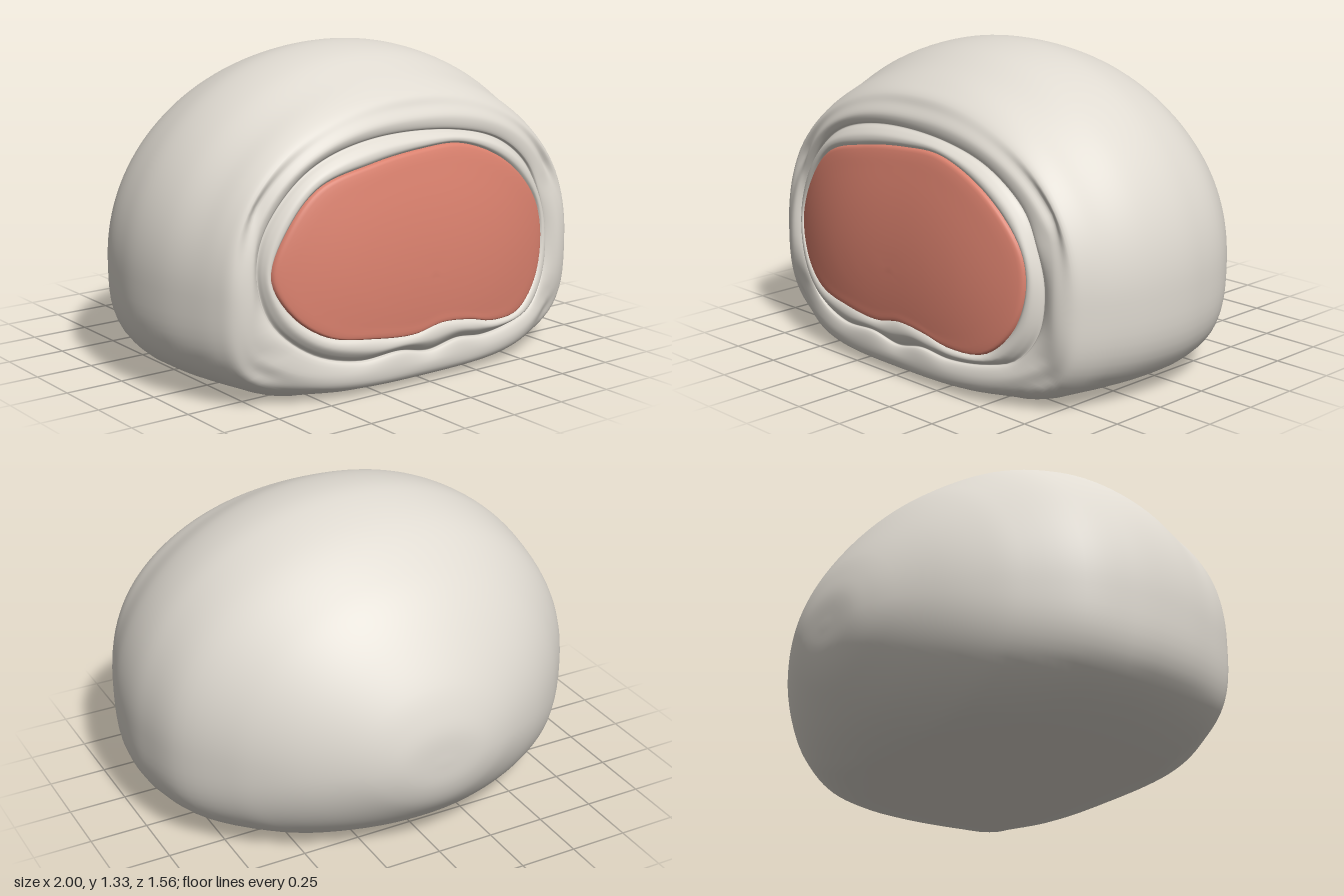
import * as THREE from 'three';

const SEG = 144;      // points around each loop
const MID = 0.45;     // height of the widest line, centre of every loop

// Gently bulging, tilted cut face
const frontZ = (x, y) =>
  0.78 - 0.27 * (y - 0.38) ** 2 - 0.11 * (Math.min(Math.abs(x), 0.75) / 0.7) ** 3;

// Loop as radius over angle: rounded dome above MID, squarer flat-bottomed half below
function domeLoop(w, top, bottom, nUp = 2.05, nLow = 3.5) {
  return (a) => {
    const c = Math.abs(Math.cos(a)), s = Math.sin(a);
    const h = s > 0 ? top - MID : MID - bottom;
    const n = s > 0 ? nUp : nLow;
    return ((c / w) ** n + (Math.abs(s) / h) ** n) ** (-1 / n);
  };
}

// Loop through hand-placed outline points, also as radius over angle
function outlineLoop(points) {
  const curve = new THREE.CatmullRomCurve3(
    points.map(([x, y]) => new THREE.Vector3(x, y - MID, 0)), true);
  const polar = curve.getPoints(600).map((p) => [
    (Math.atan2(p.y, p.x) + Math.PI * 2) % (Math.PI * 2), Math.hypot(p.x, p.y)]);
  polar.sort((p, q) => p[0] - q[0]);
  return (a) => {
    const i = polar.findIndex((p) => p[0] >= a);
    if (i <= 0) return polar[0][1];
    const [a0, r0] = polar[i - 1], [a1, r1] = polar[i];
    return a1 - a0 < 1e-6 ? r1 : r0 + (r1 - r0) * (a - a0) / (a1 - a0);
  };
}

const at = (a, r) => [r * Math.cos(a), Math.max(0, MID + r * Math.sin(a))];

// Skin made by sweeping a profile (angle -> list of points) around the z axis
function sweep(profile, steps) {
  const pos = [], index = [];
  for (let j = 0; j < SEG; j++) {
    const curve = new THREE.CatmullRomCurve3(profile((j / SEG) * Math.PI * 2));
    for (let i = 0; i <= steps; i++) {
      const p = curve.getPoint(i / steps);
      pos.push(p.x, Math.max(0, p.y), p.z);
    }
  }
  const id = (i, j) => (j % SEG) * (steps + 1) + i;
  for (let j = 0; j < SEG; j++) {
    for (let i = 0; i < steps; i++) {
      const a = id(i, j), b = id(i, j + 1), c = id(i + 1, j + 1), d = id(i + 1, j);
      index.push(a, b, c, a, c, d);
    }
  }
  const geo = new THREE.BufferGeometry();
  geo.setAttribute('position', new THREE.Float32BufferAttribute(pos, 3));
  geo.setIndex(index);
  geo.computeVertexNormals();
  // Share one normal at the pole where all profiles meet
  const n = geo.attributes.normal;
  for (const i of [0, steps]) {
    const p = geo.attributes.position;
    if (Math.hypot(p.getX(id(i, 0)) - p.getX(id(i, SEG / 2)), p.getY(id(i, 0)) - p.getY(id(i, SEG / 2))) > 1e-4) continue;
    for (let j = 0; j < SEG; j++) n.setXYZ(id(i, j), 0, 0, i === 0 ? -1 : 1);
  }
  return geo;
}

export function createModel() {
  const dough = new THREE.MeshStandardMaterial({ color: 0xdfdad1 });
  dough.name = 'dough';
  const paste = new THREE.MeshStandardMaterial({ color: 0xd9806d });
  paste.name = 'filling red';

  // Wavy edge of the filling and the rolled lip around it
  const fillEdge = outlineLoop([
    [-0.71, 0.52], [-0.64, 0.7], [-0.5, 0.85], [-0.25, 0.92], [0, 0.95], [0.2, 0.95],
    [0.4, 0.88], [0.55, 0.77], [0.65, 0.63], [0.67, 0.48], [0.62, 0.32], [0.5, 0.21],
    [0.33, 0.2], [0.2, 0.23], [0.05, 0.245], [-0.1, 0.22], [-0.3, 0.235], [-0.5, 0.27], [-0.64, 0.37]]);
  const lipEdge = outlineLoop([
    [-0.75, 0.5], [-0.72, 0.68], [-0.6, 0.85], [-0.45, 0.95], [-0.2, 1.01], [0.2, 1.0],
    [0.45, 0.93], [0.62, 0.8], [0.69, 0.66], [0.73, 0.5], [0.71, 0.32], [0.62, 0.2],
    [0.5, 0.16], [0.3, 0.14], [0.15, 0.155], [0, 0.13], [-0.15, 0.155], [-0.35, 0.145],
    [-0.55, 0.2], [-0.7, 0.33]]);

  // Dome loops from back to front: z, half width, top, bottom, lower roundness
  const body = [
    [-0.77, 0.17, 0.57, 0.34, 2], [-0.745, 0.27, 0.66, 0.26, 2], [-0.7, 0.38, 0.76, 0.19, 2],
    [-0.6, 0.56, 0.91, 0.09, 2.2], [-0.5, 0.69, 1.03, 0.03, 2.5], [-0.4, 0.79, 1.12, -0.005, 2.8],
    [-0.2, 0.935, 1.25, -0.03, 3.2], [0, 0.988, 1.315, -0.03, 3.5], [0.13, 1, 1.325, -0.03, 3.5],
    [0.3, 0.985, 1.3, -0.03, 3.5], [0.45, 0.945, 1.24, -0.03, 3.5], [0.55, 0.908, 1.19, -0.03, 3.5],
    [0.61, 0.875, 1.15, -0.01, 3.5],
  ].map(([z, w, t, b, n], i) => ({ z, loop: domeLoop(w, t, b, i > 10 ? 2.15 : 2.05, n) }));

  // Loops that lie on the cut face, with their depth from it
  const mix = (k) => (a) => lipEdge(a) * (1 - k) + fillEdge(a) * k;
  const face = [
    [domeLoop(0.835, 1.11, 0.035, 2.25), -0.005], [domeLoop(0.795, 1.065, 0.085, 2.35), 0.005],
    [(a) => lipEdge(a) * 1.015, -0.015], [lipEdge, -0.03], [mix(0.2), -0.012],
    [mix(0.5), 0.004], [mix(0.8), 0], [mix(1), -0.015], [(a) => fillEdge(a) * 0.975, -0.04]];

  const group = new THREE.Group();
  const bun = new THREE.Mesh(sweep((a) => {
    const pts = [new THREE.Vector3(0, MID, -0.777)];
    for (const { z, loop } of body) pts.push(new THREE.Vector3(...at(a, loop(a)), z));
    for (const [loop, dz] of face) {
      const [x, y] = at(a, loop(a));
      pts.push(new THREE.Vector3(x, y, frontZ(x, y) + dz));
    }
    return pts;
  }, 110), dough);
  bun.name = 'bunDough';

  // Filling showing through the cut
  const filling = new THREE.Mesh(sweep((a) =>
    [[1.005, -0.03], [0.995, -0.006], [0.97, 0], [0.8, 0], [0.6, 0], [0.4, 0], [0.2, 0], [0, 0]].map(([k, dz]) => {
      const [x, y] = at(a, fillEdge(a) * k);
      return new THREE.Vector3(x, y, frontZ(x, y) + dz);
    }), 28), paste);
  filling.name = 'filling';

  group.add(bun, filling);
  return group;
}
